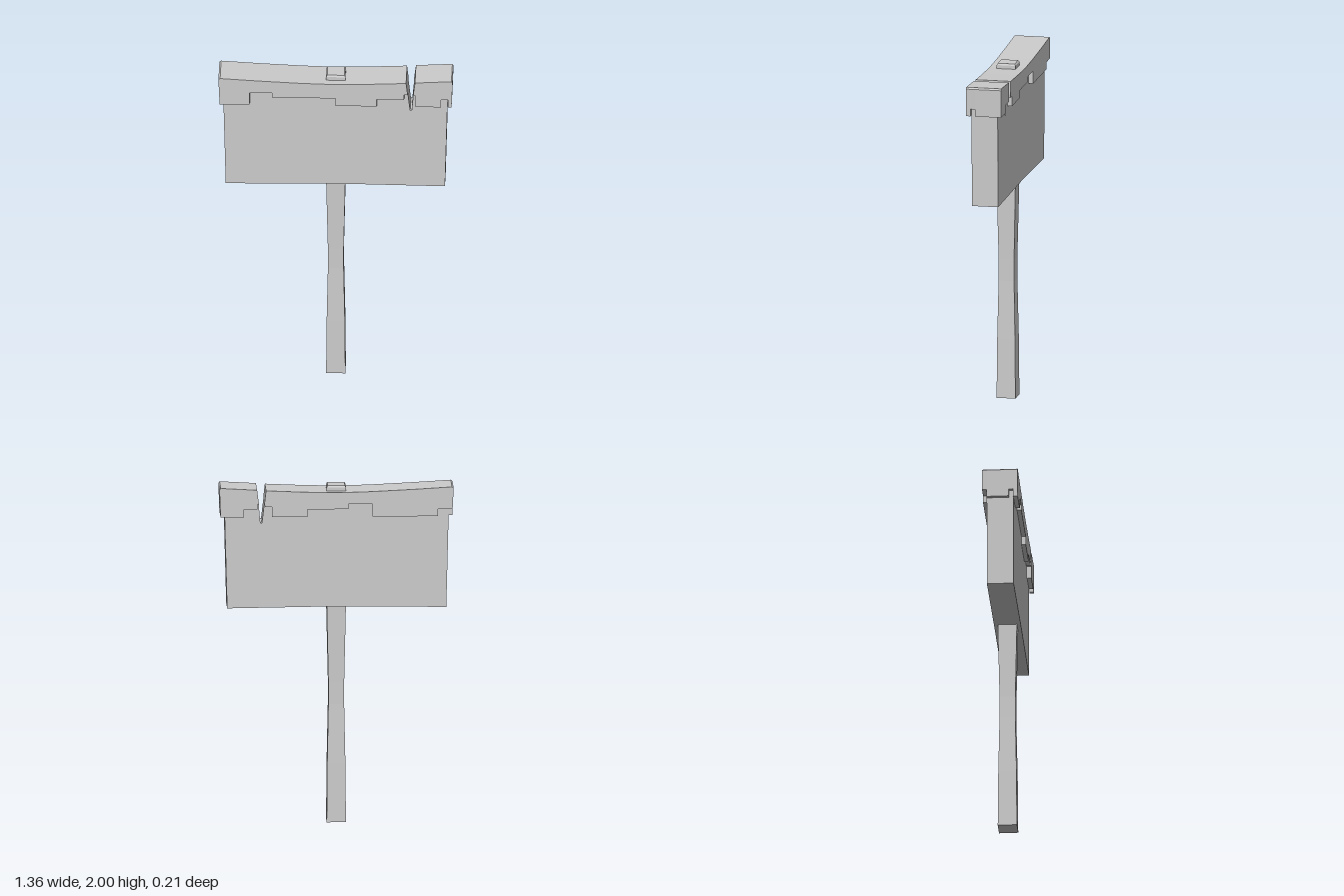
import * as THREE from 'three';

const material = new THREE.MeshStandardMaterial({ color: 0xcccccc, flatShading: true });

// Flat slab: an outline in x/y, spanning z0 to z1
function slab(name, points, z0, z1) {
  const shape = new THREE.Shape(points.map(([x, y]) => new THREE.Vector2(x, y)));
  const geometry = new THREE.ExtrudeGeometry(shape, { depth: z1 - z0, bevelEnabled: false });
  geometry.translate(0, 0, z0);
  const mesh = new THREE.Mesh(geometry, material);
  mesh.name = name;
  return mesh;
}

// Upper edges of the two cap pieces, running from right to left
const longTop = [[0.42, 1.905], [0.411, 1.982], [0.2, 1.973], [0, 1.968], [-0.2, 1.973], [-0.45, 1.985], [-0.672, 1.998], [-0.682, 1.99]];
const shortTop = [[0.682, 1.988], [0.675, 1.998], [0.463, 1.986], [0.452, 1.9]];

// Stepped lower edges, running from left to right
const longFront = [[-0.675, 1.822], [-0.5, 1.825], [-0.5, 1.905], [-0.37, 1.905], [-0.37, 1.875], [0, 1.875],
  [0, 1.825], [0.24, 1.825], [0.24, 1.872], [0.4, 1.872], [0.4, 1.905]];
const longBack = [[-0.676, 1.868], [-0.59, 1.868], [-0.59, 1.825], [-0.21, 1.825], [-0.21, 1.9], [-0.07, 1.9],
  [-0.07, 1.87], [0.17, 1.87], [0.17, 1.825], [0.375, 1.825], [0.375, 1.885], [0.417, 1.885]];
const shortFront = [[0.467, 1.9], [0.467, 1.825], [0.615, 1.825], [0.615, 1.875], [0.655, 1.875], [0.655, 1.825], [0.676, 1.825]];
const shortBack = [[0.46, 1.9], [0.46, 1.872], [0.54, 1.872], [0.54, 1.825], [0.676, 1.825]];

export function createModel() {
  const model = new THREE.Group();

  // Square post, slightly waisted, with a chamfered top
  const profile = [[0, 0], [0.056, 0], [0.053, 0.35], [0.046, 0.7], [0.046, 0.83], [0.054, 1.2], [0.056, 1.3], [0.056, 1.99], [0.05, 2], [0, 2]];
  const post = new THREE.Mesh(new THREE.LatheGeometry(
    profile.map(([half, y]) => new THREE.Vector2(half * Math.SQRT2, y)), 4, Math.PI / 4), material);
  post.name = 'post';
  model.add(post);

  // Sign board with a V-shaped crack in its upper edge
  model.add(slab('board', [[-0.64, 1.28], [0, 1.288], [0.637, 1.28], [0.654, 1.93], [0.456, 1.93],
    [0.443, 1.785], [0.434, 1.785], [0.417, 1.93], [-0.656, 1.93]], -0.078, 0.078));

  // Cap in two pieces: stepped skirts front and back, filled between
  const cap = new THREE.Group();
  cap.name = 'cap';
  const layers = [
    ['FrontSkirt', longFront, shortFront, 0.078, 0.104],
    ['FrontCorner', [[-0.677, 1.868], [0.415, 1.868]], [[0.455, 1.868], [0.677, 1.868]], 0.052, 0.078],
    ['Core', [[-0.675, 1.825], [0.415, 1.825]], [[0.455, 1.825], [0.676, 1.825]], -0.078, 0.052],
    ['BackSkirt', longBack, shortBack, -0.104, -0.078],
  ];
  for (const [name, long, short, z0, z1] of layers) {
    cap.add(slab('long' + name, [...long, ...longTop], z0, z1));
    cap.add(slab('short' + name, [...short, ...shortTop], z0, z1));
  }
  model.add(cap);
  return model;
}
